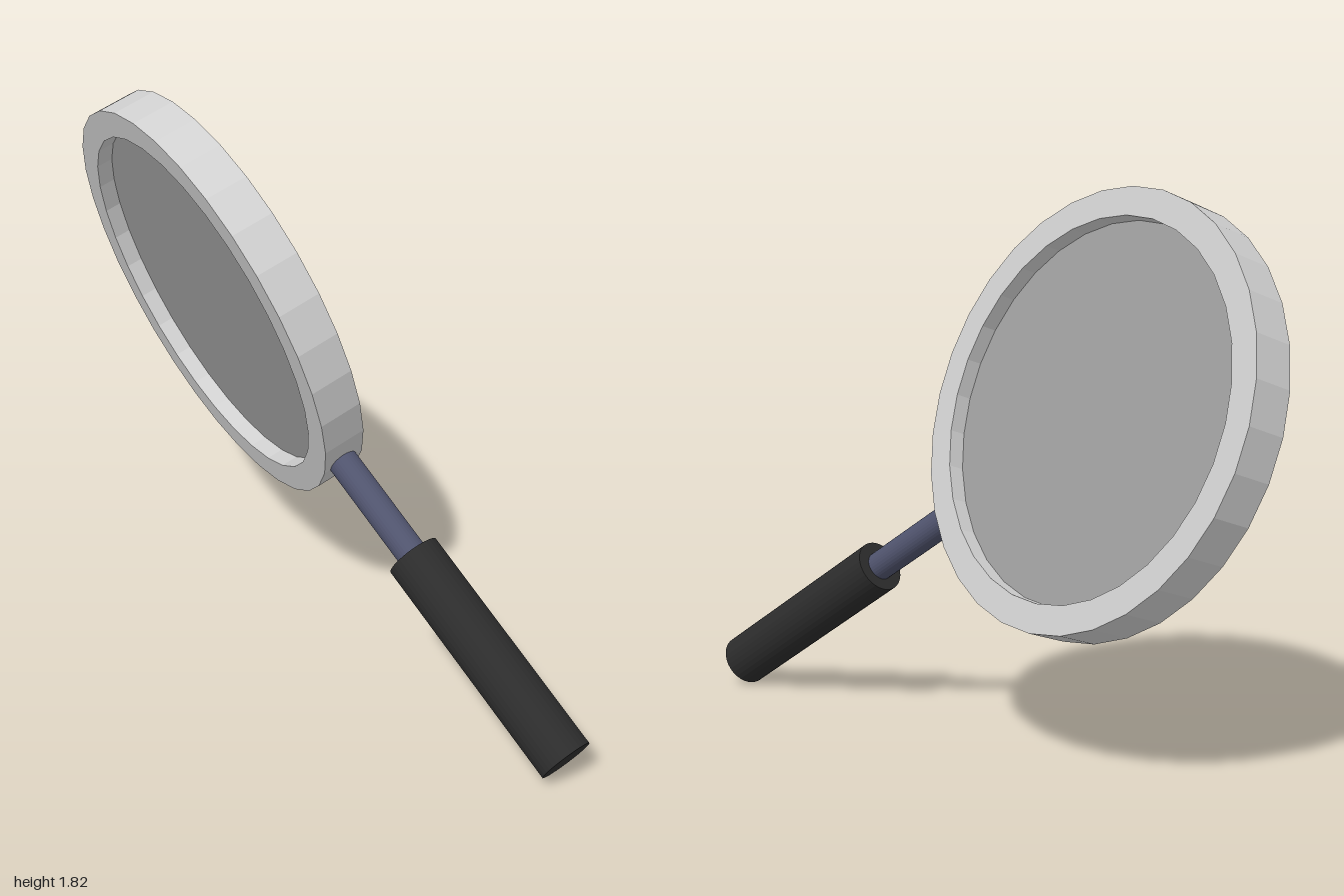
import * as THREE from 'three';

const mat = (name, color, flatShading) => {
  const m = new THREE.MeshStandardMaterial({ color, flatShading });
  m.name = name;
  return m;
};

export function createModel() {
  const frameGrey = mat('frame grey', 0xd0d0d0, true);
  const glassGrey = mat('glass grey', 0x9e9e9e, true);
  const rodBlue = mat('rod blue grey', 0x50546e, true);
  const gripBlack = mat('grip black', 0x2c2c2c, true);

  const group = new THREE.Group();
  group.name = 'magnifyingGlass';
  const add = (name, geometry, material) => {
    const mesh = new THREE.Mesh(geometry, material);
    mesh.name = name;
    group.add(mesh);
  };

  // Built lying flat: lens axis along y, handle along +x
  const R = 0.72, r = 0.625, h = 0.074;
  const ring = [[r, -h], [R, -h], [R, h], [r, h], [r, -h]].map(p => new THREE.Vector2(...p));
  add('frame', new THREE.LatheGeometry(ring, 32), frameGrey);
  add('lens', new THREE.CylinderGeometry(r, r, 0.034, 32), glassGrey);

  // Handle pieces between two distances from the lens centre
  const bar = (radius, from, to) =>
    new THREE.CylinderGeometry(radius, radius, to - from, 32)
      .rotateZ(-Math.PI / 2).translate((from + to) / 2, 0, 0);
  add('rod', bar(0.05, 0.705, 1.12), rodBlue);
  add('grip', bar(0.09, 1.105, 1.903), gripBlack);

  // Tilt into the leaning pose
  const along = new THREE.Vector3(0.709, -0.5465, 0.445).normalize();
  const normal = new THREE.Vector3(0.669, 0.308, -0.677);
  normal.addScaledVector(along, -normal.dot(along)).normalize();
  const side = new THREE.Vector3().crossVectors(along, normal);
  group.quaternion.setFromRotationMatrix(new THREE.Matrix4().makeBasis(along, normal, side));
  group.position.set(-0.415, 1.12, -0.172);

  const model = new THREE.Group();
  model.add(group);
  return model;
}
